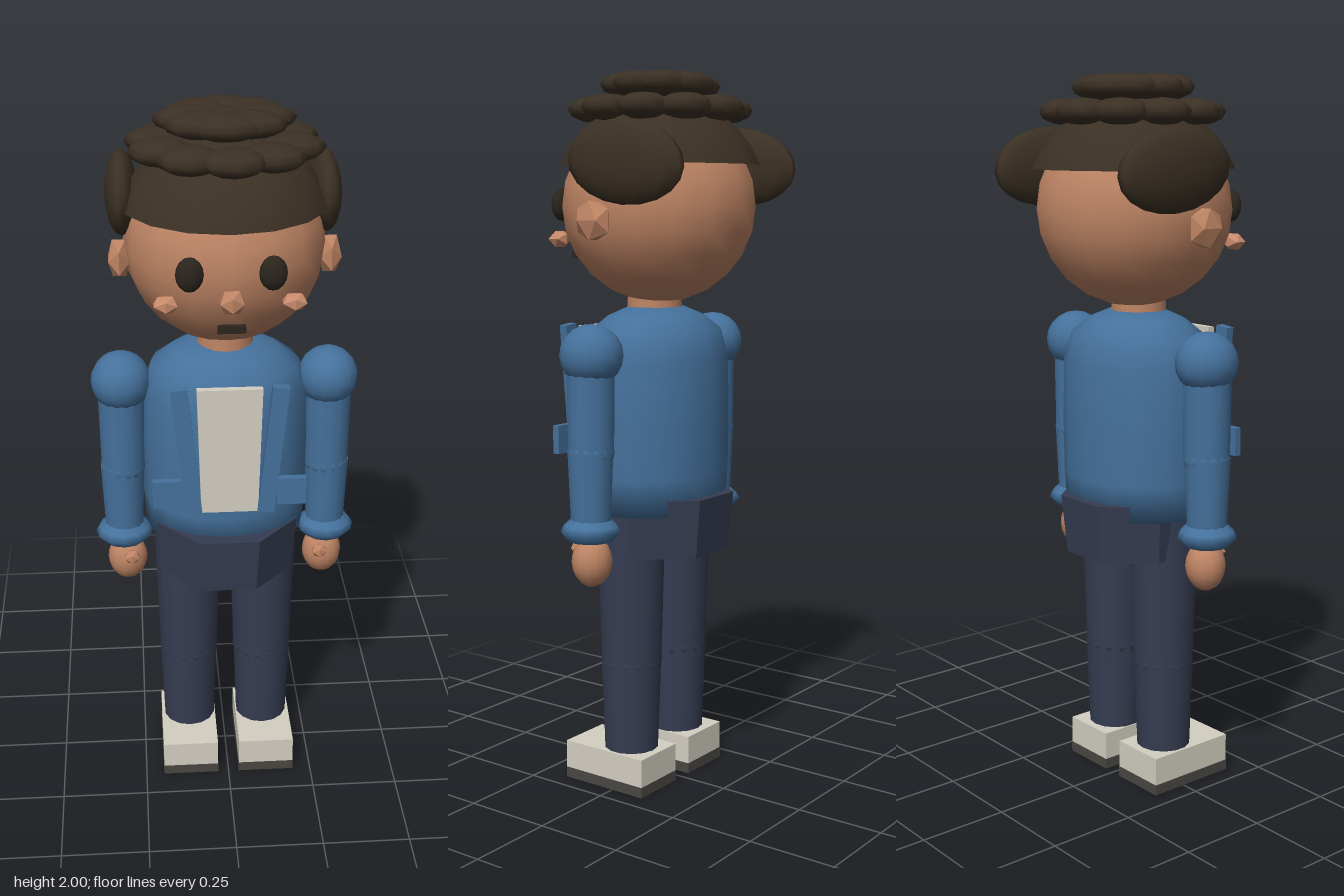
import * as THREE from 'three';

const mat = (name, color, flatShading = false) => {
  const m = new THREE.MeshStandardMaterial({ color, flatShading });
  m.name = name;
  return m;
};

export function createModel() {
  const skin = mat('skin', 0xbe8464);
  const facet = mat('facetedSkin', 0xbe8464, true);
  const cheekMat = mat('cheek', 0xc98a6c, true);
  const hair = mat('hair', 0x3b3024);
  const dark = mat('eyeAndMouth', 0x2c251e);
  const jacket = mat('jacketBlue', 0x45719c);
  const trousers = mat('trousers', 0x363d52, true);
  const cream = mat('cream', 0xd3cfc2);
  const sole = mat('sole', 0x4a4742);

  const model = new THREE.Group();
  model.name = 'standingFigure';

  const add = (name, geo, material, x, y, z, parent = model) => {
    const m = new THREE.Mesh(geo, material);
    m.name = name;
    m.position.set(x, y, z);
    parent.add(m);
    return m;
  };
  const ball = (rx, ry, rz, w = 14, h = 10) => new THREE.SphereGeometry(1, w, h).scale(rx, ry, rz);
  const gem = (rx, ry, rz) => new THREE.IcosahedronGeometry(1, 0).scale(rx, ry, rz);
  const tube = (top, bottom, height, n = 14) => new THREE.CylinderGeometry(top, bottom, height, n);
  const box = (w, h, d) => new THREE.BoxGeometry(w, h, d);
  const lathe = (pts, n = 16) => new THREE.LatheGeometry(pts.map(p => new THREE.Vector2(...p)), n);

  // Head and face
  add('head', ball(0.27, 0.265, 0.27, 16, 12), skin, 0, 1.64, -0.022);
  add('neck', tube(0.075, 0.08, 0.12), skin, 0, 1.37, -0.005);
  add('nose', gem(0.036, 0.036, 0.033), facet, 0, 1.58, 0.272);
  add('mouth', box(0.072, 0.02, 0.014), dark, 0, 1.503, 0.258);

  // Hair: cap, two rings of curls and a crown
  add('hairCap', new THREE.SphereGeometry(0.3, 16, 6, 0, Math.PI * 2, 0, 1.196), hair, 0, 1.64, -0.025);
  const curlRing = (name, count, radius, y, size, phase) => {
    for (let i = 0; i < count; i++) {
      const a = phase + (i / count) * Math.PI * 2;
      add(name, ball(...size, 8, 6), hair, Math.sin(a) * radius, y, -0.026 + Math.cos(a) * radius);
    }
  };
  curlRing('lowerCurl', 10, 0.178, 1.9, [0.087, 0.036, 0.069], 0.07);
  curlRing('upperCurl', 8, 0.09, 1.965, [0.097, 0.035, 0.062], 0);
  add('crownCurl', ball(0.06, 0.03, 0.06, 8, 6), hair, 0, 1.965, -0.026);

  // Jacket body
  const body = lathe([[0, 0.8], [0.225, 0.8], [0.232, 0.9], [0.234, 1.05], [0.23, 1.22],
    [0.205, 1.3], [0.15, 1.34], [0.09, 1.363], [0, 1.365]]).scale(1, 1, 0.83);
  add('jacketBody', body, jacket, 0, 0, -0.01);
  const panel = new THREE.Shape([[-0.088, 1.305], [-0.078, 0.937], [0.078, 0.937], [0.088, 1.305]]
    .map(p => new THREE.Vector2(...p)));
  add('shirtFront', new THREE.ExtrudeGeometry(panel, { depth: 0.02, bevelEnabled: false }),
    cream, 0, 0, 0.18);

  // Hips: eight-sided and tapering
  const hips = tube(0.235, 0.217, 0.165, 8).rotateY(Math.PI / 8).scale(0.92, 1, 1);
  add('hips', hips, trousers, 0, 0.7625, -0.003);

  for (const s of [1, -1]) {
    const side = new THREE.Group();
    side.name = s > 0 ? 'leftSide' : 'rightSide';
    model.add(side);
    const part = (name, geo, m, x, y, z) => add(name, geo, m, s * x, y, z, side);

    // Face and side hair
    part('eye', ball(0.036, 0.046, 0.022, 12, 8), dark, 0.105, 1.645, 0.243);
    part('cheek', gem(0.036, 0.026, 0.03), cheekMat, 0.165, 1.55, 0.2);
    part('ear', gem(0.034, 0.06, 0.06), facet, 0.28, 1.602, -0.01);
    part('sideHair', ball(0.045, 0.11, 0.187, 14, 10), hair, 0.27, 1.752, -0.108).rotation.x = -0.08;

    // Lapel and pocket
    part('lapel', box(0.045, 0.375, 0.024), jacket, 0.117, 1.125, 0.198).rotation.z = -s * 0.1;
    part('pocket', box(0.08, 0.08, 0.02), jacket, 0.17, 0.992, 0.184);

    // Arm and hand
    part('shoulder', ball(0.084, 0.084, 0.087), jacket, 0.287, 1.247, -0.008);
    part('upperArm', tube(0.066, 0.063, 0.27), jacket, 0.288, 1.115, -0.006);
    part('elbow', ball(0.064, 0.05, 0.064), jacket, 0.289, 0.985, -0.006);
    part('forearm', tube(0.063, 0.054, 0.22), jacket, 0.291, 0.88, -0.006);
    part('cuff', lathe([[0, 0.745], [0.06, 0.745], [0.083, 0.77], [0.073, 0.787], [0.053, 0.805]], 12),
      jacket, 0.292, 0, -0.006);
    part('hand', ball(0.057, 0.07, 0.055), skin, 0.285, 0.685, -0.004);
    part('thumb', gem(0.024, 0.022, 0.024), facet, 0.272, 0.712, 0.052);

    // Leg
    const smoothLeg = trousersSmooth;
    part('thigh', tube(0.098, 0.086, 0.44), smoothLeg, 0.11, 0.58, -0.005);
    part('knee', ball(0.087, 0.045, 0.087), smoothLeg, 0.11, 0.365, -0.005);
    part('shin', tube(0.086, 0.077, 0.26), smoothLeg, 0.111, 0.235, -0.005);

    // Shoe
    part('shoe', box(0.164, 0.08, 0.27), cream, 0.114, 0.07, 0.031);
    part('shoeSole', box(0.166, 0.03, 0.272), sole, 0.114, 0.015, 0.031);
  }
  return model;
}

const trousersSmooth = mat('trousersLeg', 0x363d52);
